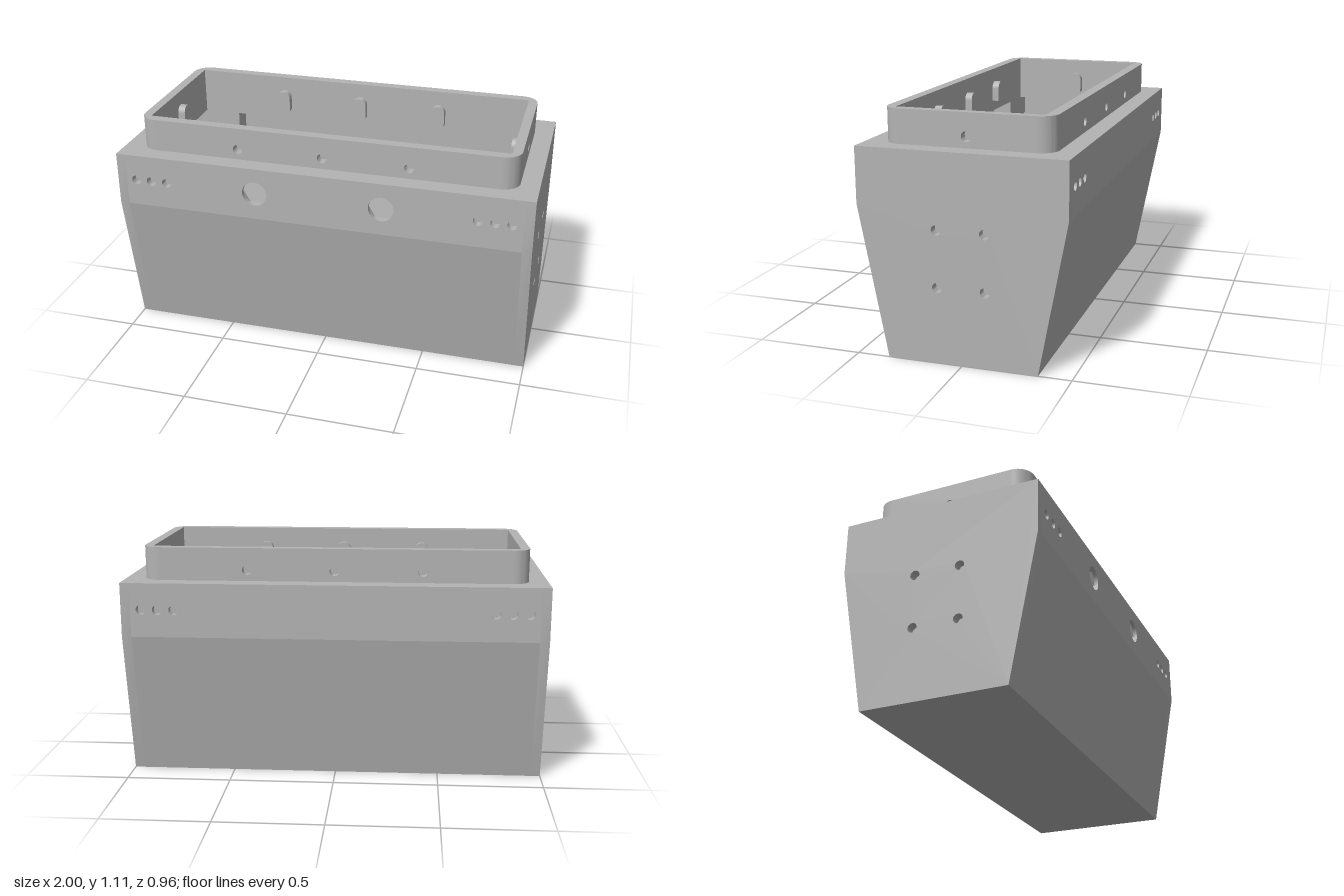
import * as THREE from 'three';
import { toCreasedNormals } from 'three/addons/utils/BufferGeometryUtils.js';

const grey = new THREE.MeshStandardMaterial({ color: 0xb3b3b3 });
grey.name = 'plain grey';

const polygon = (points) => new THREE.Shape(points.map(([x, y]) => new THREE.Vector2(x, y)));
const rect = (w, y0, y1) => polygon([[-w, y0], [w, y0], [w, y1], [-w, y1]]);

// Cuts round (or few-sided) holes, each given as [x, y, radius, sides]
function cut(shape, holes) {
  for (const [x, y, r, sides = 24] of holes) {
    const ring = [];
    for (let i = 0; i < sides; i++) {
      const a = (i / sides) * Math.PI * 2;
      ring.push(new THREE.Vector2(x + r * Math.cos(a), y + r * Math.sin(a)));
    }
    shape.holes.push(new THREE.Path(ring));
  }
  return shape;
}

const extrude = (shape, depth) =>
  new THREE.ExtrudeGeometry(shape, { depth, bevelEnabled: false, curveSegments: 12 });

// Plates lying across z, across x and across y
const plateZ = (shape, z0, z1) => extrude(shape, z1 - z0).translate(0, 0, z0);
const plateX = (shape, x0, x1) => extrude(shape, x1 - x0).rotateY(Math.PI / 2).translate(x0, 0, 0);
const plateY = (shape, y0, y1) => extrude(shape, y1 - y0).rotateX(-Math.PI / 2).translate(0, y0, 0);
// Bar along x with a profile given in (z, y)
const barX = (points, x0, x1) =>
  extrude(polygon(points), x1 - x0).rotateY(-Math.PI / 2).translate(x1, 0, 0);

function add(parent, name, geometry) {
  const mesh = new THREE.Mesh(toCreasedNormals(geometry, 0.6), grey);
  mesh.name = name;
  parent.add(mesh);
}

// Arch-topped tab that backs a screw hole
function tabShape(x) {
  const s = new THREE.Shape();
  s.moveTo(x - 0.035, 0.94);
  s.lineTo(x + 0.035, 0.94);
  s.lineTo(x + 0.035, 1.008);
  s.absarc(x, 1.008, 0.035, 0, Math.PI, false);
  return s;
}

const R = 0.023;
const TOP = 0.957, RIM = 1.113;

// One long side: sloped lower wall, upright band, corner blocks, collar wall
function longSide(isFront) {
  const g = new THREE.Group();
  g.name = isFront ? 'frontSide' : 'backSide';
  add(g, 'slopedWall', barX([[0.348, 0], [0.48, 0.7], [0.44, 0.7], [0.308, 0]], -0.955, 0.955));

  const small = [-0.905, -0.828, -0.75, 0.75, 0.828, 0.905].map((x) => [x, 0.83, R]);
  const big = (r, n) => (isFront ? [-0.305, 0.305].map((x) => [x, 0.83, r, n]) : []);
  add(g, 'outerBand', plateZ(cut(rect(0.955, 0.7, TOP), [...small, ...big(0.06, 32)]), 0.46, 0.48));
  add(g, 'innerBand', plateZ(cut(rect(0.955, 0.7, TOP), [...small, ...big(0.07, 6)]), 0.44, 0.46));

  // Chamfered blocks behind the small holes
  const block = [[0.44, 0.69], [0.44, 0.89], [0.34, 0.89], [0.34, 0.78]];
  add(g, 'cornerBlock', barX(block, 0.68, 0.955));
  add(g, 'cornerBlock', barX(block, -0.955, -0.68));

  const xs = [-0.413, 0, 0.413];
  add(g, 'collarWall', plateZ(cut(rect(0.83, TOP, RIM), xs.map((x) => [x, 1.008, R])), 0.34, 0.39));
  for (const x of xs) add(g, 'screwTab', plateZ(tabShape(x), 0.305, 0.34));
  return g;
}

// One end: end wall, hole backings, collar end and its two rounded corners
function endSide() {
  const g = new THREE.Group();
  g.name = 'endSide';
  const holes = [-0.11, 0.11].flatMap((z) => [0.35, 0.61].map((y) => [z, y, R]));
  const outline = [[-0.348, 0], [0.348, 0], [0.48, 0.7], [0.48, TOP], [-0.48, TOP], [-0.48, 0.7]];
  add(g, 'endWall', plateX(cut(polygon(outline), holes), 0.955, 1));
  for (const [z, y] of holes) {
    add(g, 'holeBacking', new THREE.CylinderGeometry(0.045, 0.045, 0.06, 24)
      .rotateZ(Math.PI / 2).translate(0.925, y, z));
  }
  add(g, 'collarEnd', plateX(cut(rect(0.31, TOP, RIM), [[0, 1.008, R]]), 0.865, 0.91));
  add(g, 'screwTab', plateX(tabShape(0), 0.83, 0.865));
  for (const s of [1, -1]) {
    const points = [[0.865, 0.31], [0.865, 0.34], [0.83, 0.34]];
    for (let i = 0; i <= 12; i++) {
      const a = Math.PI / 2 * (1 - i / 12);
      points.push([0.83 + 0.08 * Math.cos(a), 0.31 + 0.08 * Math.sin(a)]);
    }
    add(g, 'collarCorner', plateY(polygon(points.map(([x, z]) => [x, z * s])), TOP, RIM));
  }
  return g;
}

export function createModel() {
  const model = new THREE.Group();
  model.name = 'enclosure';

  const back = longSide(false);
  back.rotation.y = Math.PI;
  const otherEnd = endSide();
  otherEnd.rotation.y = Math.PI;
  model.add(longSide(true), back, endSide(), otherEnd);

  // Floor with four small blind holes
  add(model, 'floorBase', plateY(rect(0.955, -0.308, 0.308), 0, 0.02));
  const pins = [-0.022, 0.022].flatMap((x) => [-0.283, 0.283].map((z) => [x, z, 0.009, 16]));
  add(model, 'floorTop', plateY(cut(rect(0.955, -0.312, 0.312), pins), 0.02, 0.04));

  // Deck under the collar, open in the middle
  const deck = rect(0.955, -0.44, 0.44);
  deck.holes.push(rect(0.865, -0.34, 0.34));
  add(model, 'deck', plateY(deck, 0.885, TOP));
  return model;
}
